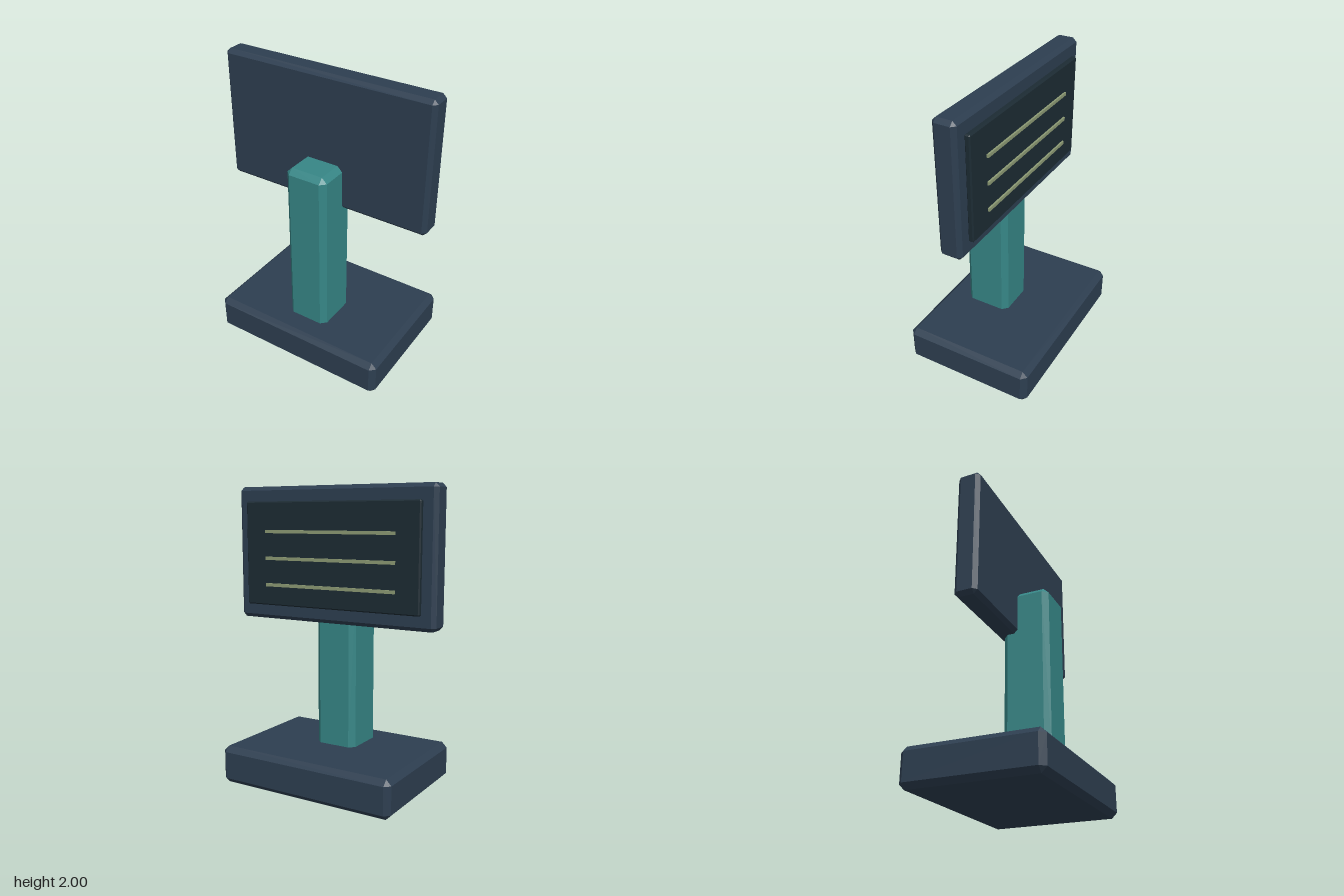
import * as THREE from 'three';
import { ConvexGeometry } from 'three/addons/geometries/ConvexGeometry.js';

const mat = (color) => new THREE.MeshStandardMaterial({ color, flatShading: true });

// Box between two corners with every edge cut by a chamfer c
function chamferBox(name, min, max, c, material) {
  const half = max.map((v, i) => (v - min[i]) / 2);
  const points = [];
  for (const sx of [-1, 1]) for (const sy of [-1, 1]) for (const sz of [-1, 1]) {
    const s = [sx, sy, sz];
    for (let axis = 0; axis < 3; axis++) {
      points.push(new THREE.Vector3(...half.map((h, i) => s[i] * (i === axis ? h : h - c))));
    }
  }
  const mesh = new THREE.Mesh(new ConvexGeometry(points), material);
  mesh.position.set(...max.map((v, i) => (v + min[i]) / 2));
  mesh.name = name;
  return mesh;
}

export function createModel() {
  const model = new THREE.Group();
  model.name = 'displayStand';
  const navy = mat(0x2d3e50);
  const teal = mat(0x368686);
  const glass = mat(0x1c2b33);
  const pale = mat(0x8c9a74);

  // Foot, post and monitor body
  model.add(chamferBox('base', [-0.64, 0, -0.455], [0.64, 0.256, 0.455], 0.036, navy));
  model.add(chamferBox('post', [-0.148, 0.2, -0.03], [0.148, 1.41, 0.288], 0.036, teal));
  model.add(chamferBox('monitorBody', [-0.745, 1.1, -0.078], [0.745, 2, 0.078], 0.026, navy));

  // Raised screen on the back face, with three text-like bars
  model.add(chamferBox('screen', [-0.655, 1.2, -0.113], [0.655, 1.9, -0.075], 0.008, glass));
  [1.34, 1.52, 1.7].forEach((y, i) => {
    const bar = new THREE.Mesh(new THREE.BoxGeometry(0.98, 0.022, 0.016), pale);
    bar.position.set(0, y, -0.117);
    bar.name = `screenBar${i + 1}`;
    model.add(bar);
  });
  return model;
}
